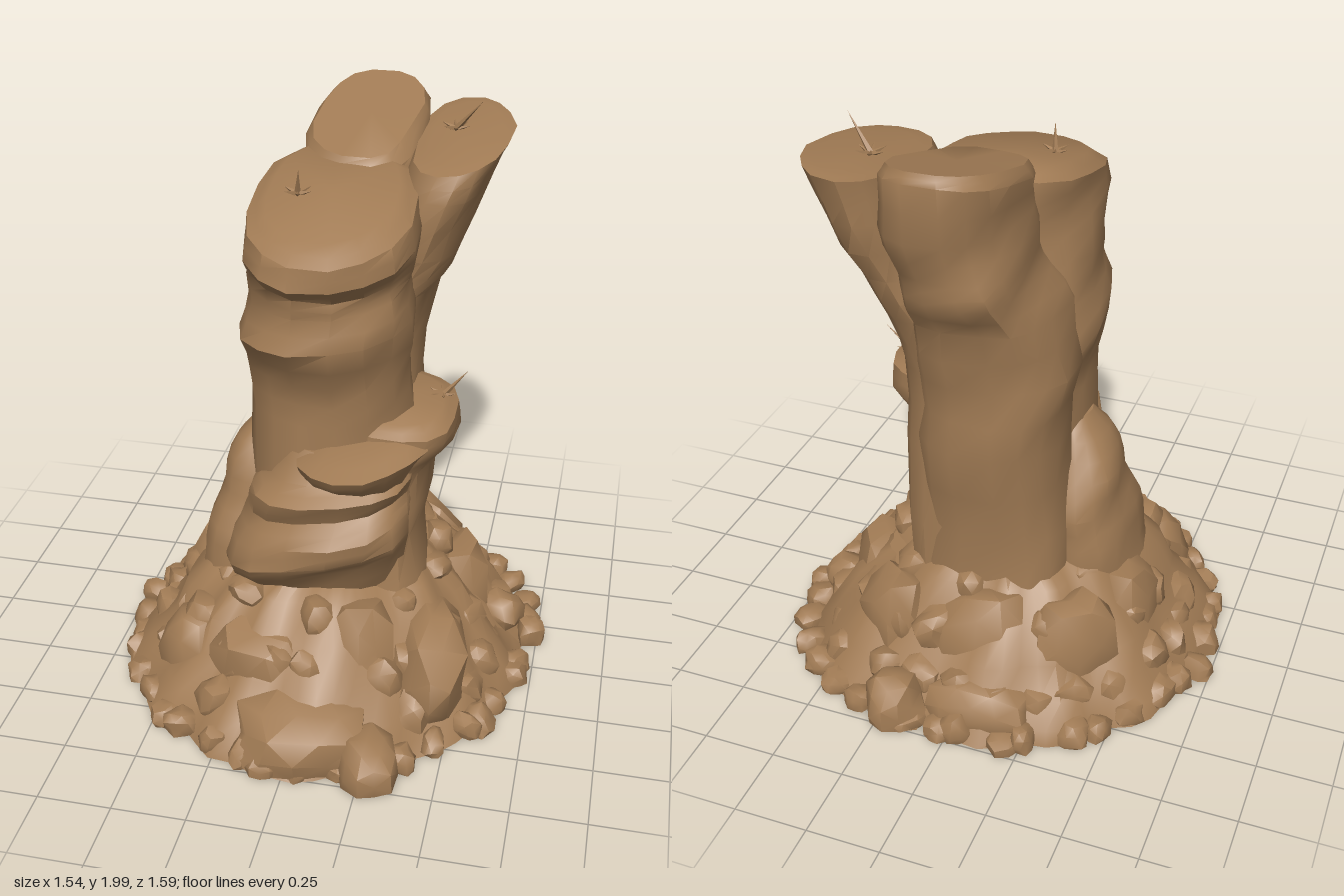
import * as THREE from 'three';
import { mergeVertices, toCreasedNormals } from 'three/addons/utils/BufferGeometryUtils.js';

const sandstone = new THREE.MeshStandardMaterial({ color: 0xa27c55 });
sandstone.name = 'sandstone';

let seed = 7;
const rand = () => (seed = (seed * 16807) % 2147483647) / 2147483647;
const between = (a, b) => a + (b - a) * rand();

// Smooth deterministic bumpiness, roughly -1..1
const bump = (x, y, z) =>
  0.5 * Math.sin(9 * x + 5 * y + 3) * Math.cos(8 * z - 4 * y) +
  0.35 * Math.sin(17 * z + 9 * y + 1) * Math.cos(15 * x - 13 * y) +
  0.3 * Math.sin(23 * y + 11 * x - 7 * z);

function addMesh(parent, name, geometry, crease = 0.7) {
  const mesh = new THREE.Mesh(toCreasedNormals(geometry, crease), sandstone);
  mesh.name = name;
  parent.add(mesh);
  return mesh;
}

// Stacked rounded-box rings; each row is [y, x0, x1, z0, z1, slopeX, slopeZ]
function loft(rows, { sides = 16, square = 0.85, rough = 0.025, steps = 2, flute = 0 } = {}) {
  const rings = [];
  rows.forEach((row, i) => {
    const next = rows[i + 1];
    for (let s = 0; s < (next ? steps : 1); s++) {
      rings.push([0, 1, 2, 3, 4, 5, 6].map(k => {
        const a = row[k] ?? 0;
        return next ? a + ((next[k] ?? 0) - a) * s / steps : a;
      }));
    }
  });
  const pos = [], idx = [];
  const pw = v => Math.sign(v) * Math.abs(v) ** square;
  for (const [y, x0, x1, z0, z1, sx, sz] of rings) {
    const cx = (x0 + x1) / 2, cz = (z0 + z1) / 2;
    for (let j = 0; j < sides; j++) {
      const a = (j + 0.5) / sides * Math.PI * 2;
      const c = pw(Math.cos(a)), d = pw(Math.sin(a));
      const x = cx + c * (x1 - x0) / 2, z = cz + d * (z1 - z0) / 2;
      const ridge = Math.asin(Math.sin(a * 11 + 2 * Math.sin(a * 3) + y * 3)) / 1.57;
      const r = rough * bump(x, y, z) + flute * ridge;
      pos.push(x + c * r, y + sx * (x - cx) + sz * (z - cz), z + d * r);
    }
  }
  const bottom = pos.length / 3, top = bottom + 1, last = (rings.length - 1) * sides;
  for (const r of [rings[0], rings[rings.length - 1]]) pos.push((r[1] + r[2]) / 2, r[0], (r[3] + r[4]) / 2);
  for (let j = 0; j < sides; j++) {
    const k = (j + 1) % sides;
    for (let i = 0; i < last; i += sides) {
      idx.push(i + j, i + sides + j, i + k, i + sides + j, i + sides + k, i + k);
    }
    idx.push(bottom, j, k, top, last + k, last + j);
  }
  const g = new THREE.BufferGeometry();
  g.setAttribute('position', new THREE.Float32BufferAttribute(pos, 3));
  g.setIndex(idx);
  return g;
}

// Chipped boulder, never reaching below the ground
function rock(parent, name, [x, y, z], [w, h, d], turn = 0, lean = 0) {
  let g = new THREE.IcosahedronGeometry(1, 1);
  g.deleteAttribute('normal');
  g.deleteAttribute('uv');
  g = mergeVertices(g, 1e-3);
  const p = g.attributes.position, v = new THREE.Vector3();
  const tilt = new THREE.Euler(lean, turn, 0, 'YXZ');
  for (let i = 0; i < p.count; i++) {
    v.fromBufferAttribute(p, i).multiplyScalar(between(0.95, 1.3));
    v.clampScalar(-0.97, 0.97);
    v.set(v.x * w, v.y * h, v.z * d).applyEuler(tilt);
    p.setXYZ(i, x + v.x, Math.max(0, y + v.y), z + v.z);
  }
  addMesh(parent, name, g, 0.75);
}

// Dry tuft: short flat thorns and one long one
function tuft(parent, [x, y, z], tip) {
  const g = new THREE.Group();
  g.name = 'thornTuft';
  const thorn = dir => {
    const len = dir.length();
    const cone = new THREE.ConeGeometry(0.011, len, 4).translate(0, len / 2, 0);
    const m = addMesh(g, 'thorn', cone);
    m.quaternion.setFromUnitVectors(new THREE.Vector3(0, 1, 0), dir.normalize());
  };
  for (let i = 0; i < 6; i++) {
    const a = i * 1.05 + 0.3;
    thorn(new THREE.Vector3(Math.cos(a) * 0.05, 0.018, Math.sin(a) * 0.05));
  }
  thorn(new THREE.Vector3(...tip));
  g.position.set(x, y, z);
  parent.add(g);
}

export function createModel() {
  seed = 7;
  const model = new THREE.Group();
  model.name = 'rockTower';

  // Three fused pillars with sloping tops
  addMesh(model, 'frontPillar', loft([
    [0.3, -0.28, 0.3, -0.3, 0.32], [0.55, -0.25, 0.3, -0.3, 0.3], [1.05, -0.25, 0.28, -0.3, 0.27],
    [1.2, -0.28, 0.28, -0.3, 0.28], [1.36, -0.28, 0.29, -0.3, 0.37, 0.12], [1.47, -0.25, 0.28, -0.28, 0.33, 0.12],
    [1.58, -0.24, 0.28, -0.27, 0.34, 0, -0.15], [1.67, -0.24, 0.3, -0.27, 0.43, 0, -0.2],
    [1.75, -0.24, 0.29, -0.27, 0.42, 0, -0.22], [1.79, -0.18, 0.23, -0.22, 0.34, 0, -0.22]], { square: 0.9 }));
  addMesh(model, 'backPillar', loft([
    [0.3, -0.28, 0.27, -0.42, 0], [0.6, -0.25, 0.24, -0.42, 0], [0.95, -0.24, 0.24, -0.47, 0],
    [1.2, -0.26, 0.24, -0.48, 0], [1.42, -0.23, 0.23, -0.52, 0], [1.54, -0.18, 0.24, -0.59, -0.02],
    [1.62, -0.15, 0.25, -0.61, -0.04], [1.75, -0.13, 0.26, -0.63, -0.06],
    [1.87, -0.13, 0.26, -0.65, -0.07, 0, -0.25], [1.91, -0.1, 0.23, -0.63, -0.1, 0, -0.25]], { square: 0.78 }));
  addMesh(model, 'sidePillar', loft([
    [0.3, 0, 0.33, -0.4, 0.1], [0.9, 0, 0.31, -0.4, 0], [1.2, 0.02, 0.29, -0.42, 0],
    [1.4, 0.08, 0.33, -0.46, 0], [1.55, 0.13, 0.41, -0.52, 0.01], [1.75, 0.2, 0.48, -0.58, 0.02],
    [1.87, 0.22, 0.53, -0.6, 0, 0.1, -0.12], [1.88, 0.26, 0.49, -0.55, -0.06, 0.1, -0.12]], { square: 0.9 }));

  // Tilted strata wrapping the lower front
  addMesh(model, 'frontStrata', loft([
    [0.42, -0.28, 0.28, -0.1, 0.3, 0.1], [0.53, -0.31, 0.3, -0.1, 0.37, 0.28],
    [0.59, -0.32, 0.31, -0.1, 0.42, 0.28], [0.67, -0.31, 0.32, -0.1, 0.42, 0.25],
    [0.75, -0.25, 0.31, -0.1, 0.36, 0.2], [0.83, -0.22, 0.32, -0.1, 0.4, 0.15],
    [0.88, -0.18, 0.3, -0.1, 0.33, 0.15], [0.97, -0.14, 0.27, -0.1, 0.27]]));
  addMesh(model, 'frontLedge', loft([
    [0.82, 0, 0.3, -0.1, 0.3, 0.1], [0.91, -0.05, 0.34, -0.1, 0.4, 0.12],
    [0.96, -0.06, 0.37, -0.1, 0.43, 0.12], [1.0, 0, 0.32, -0.1, 0.31, 0.12]], { square: 0.95 }));
  addMesh(model, 'sideLedge', loft([
    [0.3, 0, 0.37, -0.25, 0.26], [0.6, 0, 0.34, -0.22, 0.23], [0.85, 0, 0.36, -0.22, 0.23],
    [0.95, 0.02, 0.43, -0.24, 0.25], [1.03, 0.04, 0.44, -0.24, 0.24, 0, -0.05],
    [1.06, 0.1, 0.39, -0.18, 0.18, 0, -0.05]]));
  addMesh(model, 'sideLobe', loft([
    [0.3, -0.46, -0.1, -0.26, 0.22], [0.5, -0.43, -0.1, -0.26, 0.21], [0.62, -0.4, -0.1, -0.25, 0.18],
    [0.74, -0.37, -0.1, -0.21, 0.14], [0.86, -0.32, -0.12, -0.15, 0.08], [0.93, -0.26, -0.15, -0.1, 0.03]],
    { square: 0.9 }));

  // Spreading, ridged foot with a spur towards the back corner
  addMesh(model, 'foot', loft([
    [0, -0.71, 0.7, -0.73, 0.74], [0.05, -0.69, 0.67, -0.71, 0.71], [0.12, -0.62, 0.61, -0.66, 0.66],
    [0.22, -0.55, 0.54, -0.59, 0.57], [0.33, -0.48, 0.46, -0.51, 0.47], [0.42, -0.4, 0.38, -0.44, 0.38],
    [0.48, -0.3, 0.3, -0.38, 0.3]],
    { sides: 60, square: 1, rough: 0.03, flute: 0.02, steps: 1 }));
  addMesh(model, 'footSpur', loft([
    [0, -0.2, 0.7, -0.68, 0.22], [0.05, -0.18, 0.68, -0.66, 0.2], [0.14, -0.12, 0.61, -0.59, 0.14],
    [0.28, -0.02, 0.5, -0.48, 0.04], [0.38, 0.08, 0.4, -0.4, -0.06]],
    { sides: 32, square: 1, rough: 0.04, flute: 0.015, steps: 1 }));

  // Large slabs sunk into the foot
  const slabs = [
    [[0.03, 0.07, 0.61], [0.22, 0.13, 0.17], 0.1, 0.35],
    [[0.27, 0.05, 0.67], [0.1, 0.1, 0.13], 0.4, 0],
    [[0.41, 0.16, 0.25], [0.13, 0.22, 0.26], 0.15, 0.1],
    [[0.18, 0.24, 0.36], [0.12, 0.21, 0.12], 0.2, -0.2],
    [[-0.14, 0.18, 0.4], [0.18, 0.17, 0.14], -0.2, 0.3],
    [[-0.39, 0.15, 0.32], [0.13, 0.18, 0.13], 0.8, 0],
    [[-0.43, 0.18, -0.1], [0.11, 0.22, 0.15], 0, 0],
    [[-0.32, 0.2, -0.38], [0.15, 0.21, 0.11], 0.6, 0],
    [[-0.04, 0.21, -0.46], [0.18, 0.21, 0.11], 0, 0.2],
    [[0.28, 0.19, -0.42], [0.14, 0.21, 0.13], -0.6, 0],
    [[0.43, 0.17, -0.2], [0.12, 0.21, 0.15], 0.2, 0],
    [[0.2, 0.05, -0.68], [0.1, 0.12, 0.1], 0.5, 0],
    [[-0.08, 0.07, -0.61], [0.18, 0.11, 0.11], 0, 0]];
  for (const [at, size, turn, lean] of slabs) rock(model, 'slab', at, size, turn, lean);

  // Rubble rings: [count, radius, low y, high y, small, large]
  const rubble = [[38, 0.69, 0.01, 0.03, 0.04, 0.07], [28, 0.58, 0.07, 0.12, 0.05, 0.09],
    [18, 0.47, 0.2, 0.28, 0.06, 0.1], [12, 0.36, 0.36, 0.4, 0.05, 0.08]];
  for (const [count, radius, low, high, small, large] of rubble) {
    for (let i = 0; i < count; i++) {
      const a = (i + between(-0.3, 0.3)) / count * Math.PI * 2;
      const spur = 1 + 0.13 * Math.max(0, Math.cos(a + 0.75)) ** 6;
      const r = radius * spur * between(0.97, 1.03);
      const size = [0, 1, 2].map(() => between(small, large));
      rock(model, 'rubble', [Math.cos(a) * r, between(low, high), Math.sin(a) * r * 1.02],
        size, between(0, 3), between(-0.4, 0.4));
    }
  }

  // Dry thorns on the flat tops
  tuft(model, [-0.08, 1.78, 0.09], [0.01, 0.09, 0.03]);
  tuft(model, [0.35, 1.88, -0.34], [0.09, 0.11, 0.04]);
  tuft(model, [0.38, 1.05, -0.05], [0.08, 0.09, -0.02]);
  return model;
}
